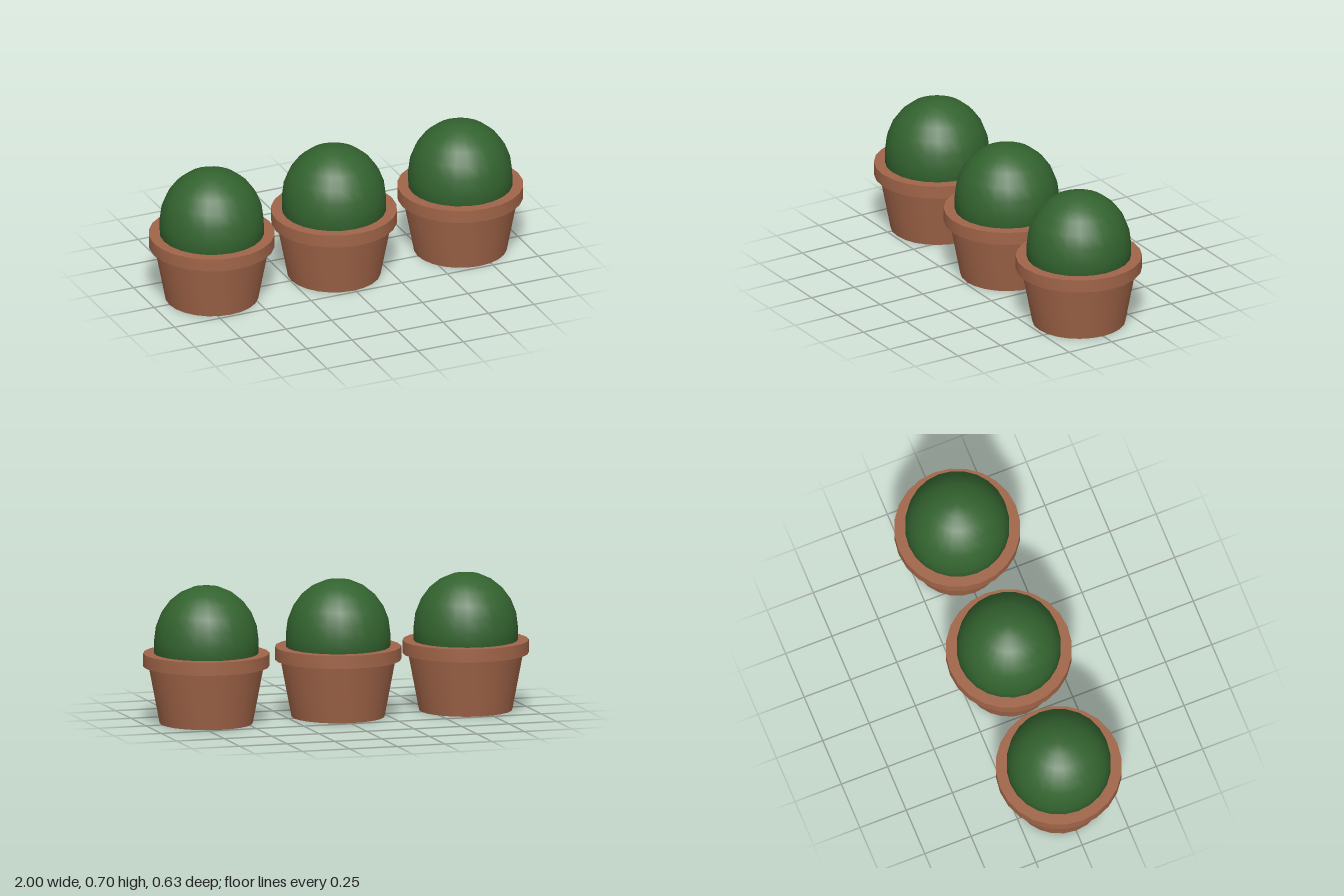
import * as THREE from 'three';
import { toCreasedNormals } from 'three/addons/utils/BufferGeometryUtils.js';

const SIDES = 24;

// Revolve a [radius, height] profile, keeping hard edges sharp
function turn(profile) {
  const points = profile.map(([r, y]) => new THREE.Vector2(r, y));
  return toCreasedNormals(new THREE.LatheGeometry(points, SIDES), Math.PI / 6);
}

export function createModel() {
  const group = new THREE.Group();
  const clay = new THREE.MeshStandardMaterial({ color: 0xa06448 });
  const green = new THREE.MeshStandardMaterial({ color: 0x33632f });

  // Hollow tapered pot with an overhanging rim and an open drainage hole
  const potGeometry = turn([
    [0.175, 0], [0.234, 0], [0.289, 0.289], [0.317, 0.289],
    [0.317, 0.355], [0.262, 0.355], [0.235, 0.289], [0.175, 0],
  ]);

  // Domed plant: short straight stem below a slightly tall half ellipsoid
  const dome = [[0, 0.289], [0.235, 0.289], [0.262, 0.355]];
  for (let i = 0; i <= 6; i++) {
    const a = (i / 6) * Math.PI / 2;
    dome.push([i === 6 ? 0 : 0.262 * Math.cos(a), 0.42 + 0.277 * Math.sin(a)]);
  }
  const plantGeometry = turn(dome);

  // Row of three potted plants
  const places = { right: -0.683, middle: -0.011, left: 0.683 };
  for (const [side, x] of Object.entries(places)) {
    const potted = new THREE.Group();
    potted.name = `${side}PottedPlant`;
    const pot = new THREE.Mesh(potGeometry, clay);
    pot.name = 'pot';
    const plant = new THREE.Mesh(plantGeometry, green);
    plant.name = 'plant';
    potted.add(pot, plant);
    potted.position.x = x;
    group.add(potted);
  }
  return group;
}
